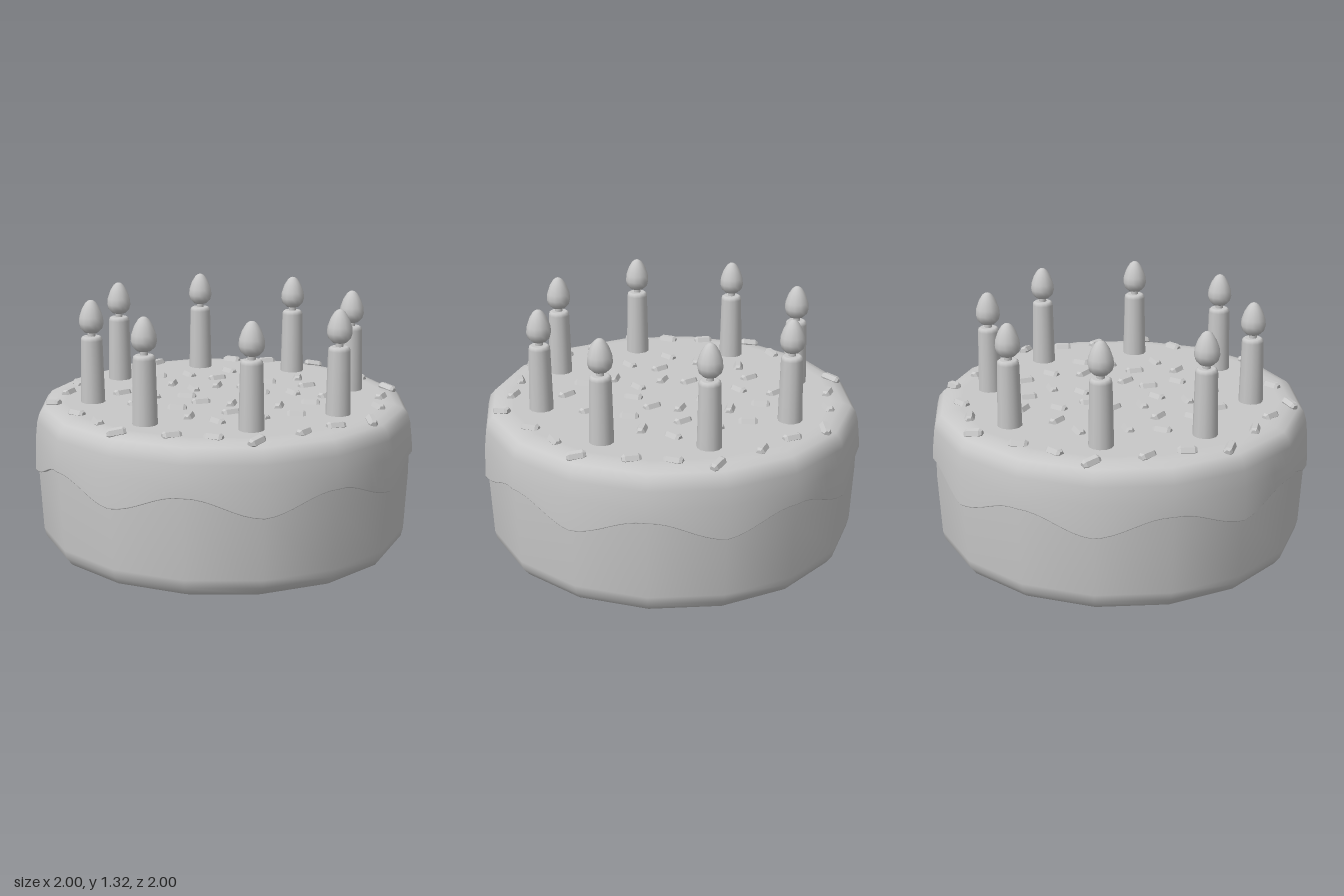
import * as THREE from 'three';

const SIDES = 16;
const lathe = (pts, seg) => new THREE.LatheGeometry(pts.map(([x, y]) => new THREE.Vector2(x, y)), seg);

// Frosting: a 16-sided shell, finely divided so its lower edge can wave eight times
function frostingGeometry() {
  const geo = lathe([[0.955, 0.49], [0.958, 0.48], [0.997, 0.48], [1, 0.485], [0.995, 0.6], [0.985, 0.69],
    [0.972, 0.735], [0.945, 0.765], [0.9, 0.78], [0.86, 0.784], [0.84, 0.785], [0, 0.785]], SIDES * 8);
  const p = geo.attributes.position;
  const step = (2 * Math.PI) / SIDES;
  for (let i = 0; i < p.count; i++) {
    const x = p.getX(i), y = p.getY(i), z = p.getZ(i);
    const a = Math.atan2(x, z) + 2 * Math.PI;
    const k = Math.cos(step / 2) / Math.cos((a % step) - step / 2);
    const wave = y < 0.5 ? -0.05 * Math.cos(8 * a) : 0;
    p.setXYZ(i, x * k, y + wave, z * k);
  }
  return geo;
}

// Sprinkle: a short hexagonal rod with bevelled ends, lying along x
function sprinkleGeometry() {
  const geo = lathe([[0, -0.048], [0.016, -0.048], [0.026, -0.034], [0.026, 0.034], [0.016, 0.048], [0, 0.048]], 6)
    .rotateZ(Math.PI / 2).toNonIndexed();
  geo.computeVertexNormals();
  return geo;
}

export function createModel() {
  const cake = new THREE.Group();
  cake.name = 'birthdayCake';
  const grey = new THREE.MeshStandardMaterial({ color: 0xc8c8c8 });
  grey.name = 'plain grey';

  const add = (parent, name, geo) => {
    const mesh = new THREE.Mesh(geo, grey);
    mesh.name = name;
    parent.add(mesh);
    return mesh;
  };

  // Cake body
  add(cake, 'cakeBase', lathe([[0, 0], [0.85, 0], [0.87, 0.002], [0.925, 0.025], [0.955, 0.065],
    [0.966, 0.11], [0.982, 0.42], [0.982, 0.6]], SIDES));
  add(cake, 'frosting', frostingGeometry());

  // Eight candles in a ring
  const wax = lathe([[0.064, 0.76], [0.056, 1.11], [0.053, 1.124], [0.045, 1.13], [0.04, 1.131], [0, 1.131]], 12);
  const wick = new THREE.CylinderGeometry(0.02, 0.02, 0.05, 8).translate(0, 1.145, 0);
  const flame = lathe([[0, 1.147], [0.035, 1.152], [0.056, 1.172], [0.064, 1.2], [0.061, 1.232],
    [0.046, 1.275], [0.026, 1.307], [0.012, 1.317], [0, 1.319]], 12);
  for (let i = 0; i < 8; i++) {
    const a = (i * Math.PI) / 4;
    const candle = new THREE.Group();
    candle.name = 'candle';
    candle.position.set(0.692 * Math.sin(a), 0, 0.692 * Math.cos(a));
    add(candle, 'candleWax', wax);
    add(candle, 'wick', wick);
    add(candle, 'flame', flame);
    cake.add(candle);
  }

  // Sprinkles for one quarter: x, z, then direction x, z
  const quarter = [
    [0.02, -0.895, 8, -7], [0.21, -0.8, 8, 6], [0.4, -0.73, 10, 0.5],
    [0.645, -0.62, 9, 1.5], [0.71, -0.42, 1.5, 9], [0.795, -0.235, 8, 6],
    [0.135, -0.53, 4.5, 8], [0.265, -0.41, 4, -8], [0.465, -0.275, 3, -9],
    [0.47, -0.105, 9, -3.5], [0.04, -0.365, 9, -4], [0.285, -0.235, 9, 4.5],
    [0.008, -0.2, 6, -8], [0.14, -0.14, 9, -3.5],
  ];
  const rod = sprinkleGeometry();
  for (let q = 0; q < 4; q++) {
    const turn = new THREE.Group();
    turn.name = 'sprinkleQuarter';
    turn.rotation.y = (-q * Math.PI) / 2;
    for (const [x, z, dx, dz] of quarter) {
      const s = add(turn, 'sprinkle', rod);
      const rim = Math.hypot(x, z) > 0.85;
      s.position.set(x, rim ? 0.783 : 0.785, z);
      s.rotation.set(0, Math.atan2(-dz, dx), 0);
      // Those on the rim lean outwards with the frosting
      if (rim) s.rotateOnWorldAxis(new THREE.Vector3(z, 0, -x).normalize(), 0.25);
    }
    cake.add(turn);
  }
  return cake;
}
